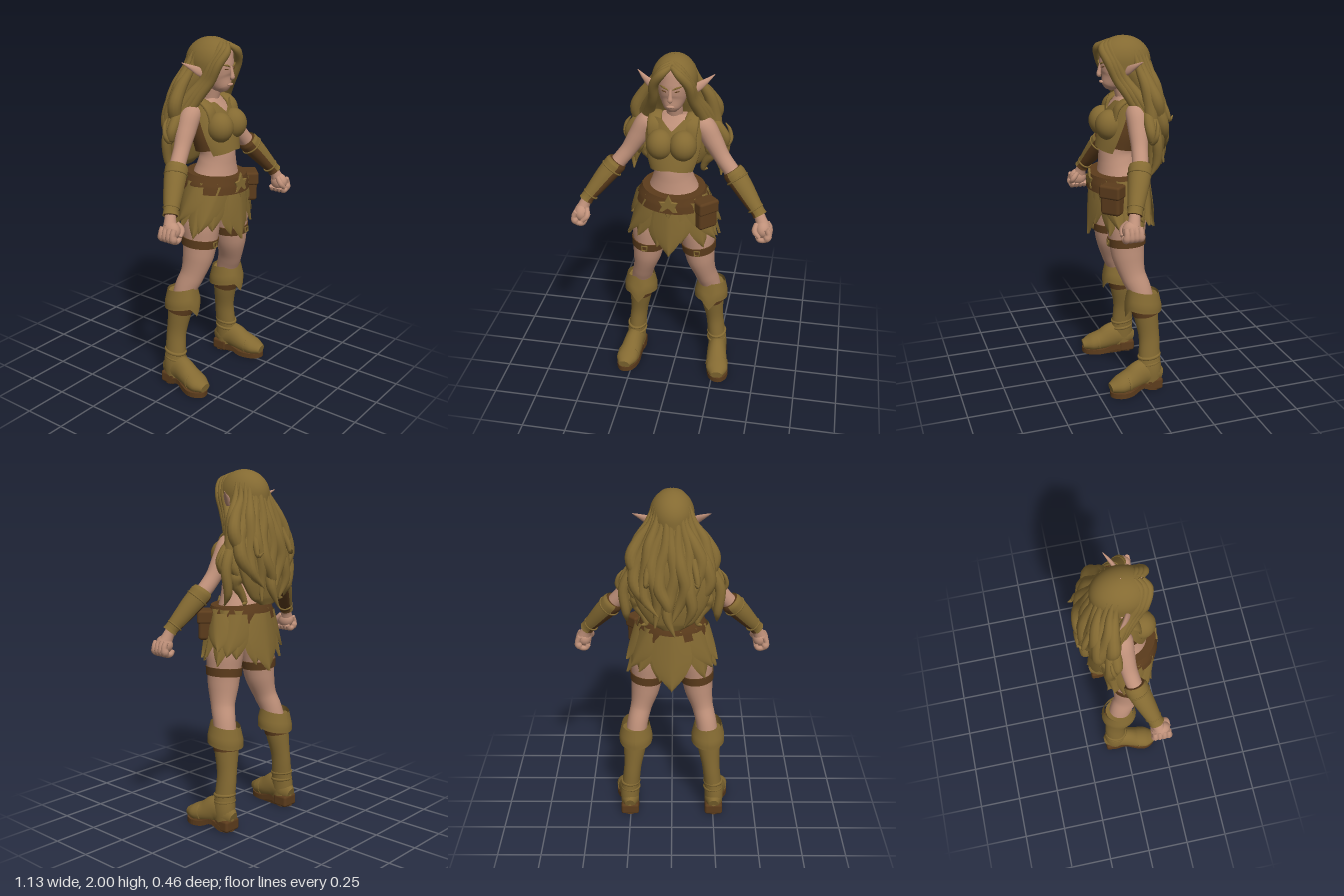
import * as THREE from 'three';
import { RoundedBoxGeometry } from 'three/addons/geometries/RoundedBoxGeometry.js';

const mat = (name, color, side = THREE.FrontSide) => {
  const m = new THREE.MeshStandardMaterial({ color, side });
  m.name = name;
  return m;
};

// Stitch rows of points into a smooth skin, optionally closed around and capped.
function skinRows(rows, closed, caps) {
  const n = rows[0].length, pos = [], idx = [];
  rows.forEach(r => r.forEach(p => pos.push(p.x, p.y, p.z)));
  const m = closed ? n : n - 1;
  for (let i = 0; i < rows.length - 1; i++) for (let j = 0; j < m; j++) {
    const a = i * n + j, b = i * n + (j + 1) % n, c = a + n, d = b + n;
    idx.push(a, c, b, b, c, d);
  }
  if (caps) caps.forEach((c, k) => {
    const ring = rows[k ? rows.length - 1 : 0], base = pos.length / 3;
    [...ring, c].forEach(p => pos.push(p.x, p.y, p.z));
    for (let j = 0; j < n; j++) {
      const a = base + j, b = base + (j + 1) % n;
      idx.push(base + n, k ? b : a, k ? a : b);
    }
  });
  const g = new THREE.BufferGeometry();
  g.setAttribute('position', new THREE.Float32BufferAttribute(pos, 3));
  g.setIndex(idx);
  g.computeVertexNormals();
  return g;
}

// Elliptical tube through [x, y, z, radiusAcross, radiusDeep] stations; arc = [middle, half width] leaves it open.
function loft(st, sides = 20, per = 5, ref = new THREE.Vector3(0, 0, 1), arc = null) {
  const path = new THREE.CatmullRomCurve3(st.map(p => new THREE.Vector3(p[0], p[1], p[2])));
  const radii = new THREE.CatmullRomCurve3(st.map(p => new THREE.Vector3(p[3], p[4] ?? p[3], 0)));
  const N = (st.length - 1) * per, rows = [];
  for (let i = 0; i <= N; i++) {
    const c = path.getPoint(i / N), r = radii.getPoint(i / N), t = path.getTangent(i / N);
    const side = t.clone().cross(ref).normalize(), deep = side.clone().cross(t);
    rows.push(Array.from({ length: sides }, (_, j) => {
      const a = arc ? arc[0] + arc[1] * (j / (sides - 1) * 2 - 1) : j / sides * Math.PI * 2;
      return c.clone().addScaledVector(side, Math.cos(a) * r.x).addScaledVector(deep, Math.sin(a) * r.y);
    }));
  }
  return arc ? skinRows(rows, false) : skinRows(rows, true, [path.getPoint(0), path.getPoint(1)]);
}

// Open sheet from a rule f(u, v) with v running downwards.
function sheet(f, nu, nv) {
  const rows = [];
  for (let i = 0; i <= nv; i++)
    rows.push(Array.from({ length: nu + 1 }, (_, j) => new THREE.Vector3(...f(j / nu, i / nv))));
  return skinRows(rows, false);
}

export function createModel() {
  const skin = mat('skin', 0xc0917a);
  const olive = mat('olive leather and hair', 0x846a32);
  const oliveSheet = mat('olive sheet', 0x846a32, THREE.DoubleSide);
  const brown = mat('brown leather', 0x5c3c1c);
  const root = new THREE.Group();
  root.name = 'elfRanger';
  const add = (name, geo, m, x = 0, y = 0, z = 0) => {
    const o = new THREE.Mesh(geo, m);
    o.name = name;
    o.position.set(x, y, z);
    root.add(o);
    return o;
  };
  const blob = (name, m, x, y, z, rx, ry, rz) => {
    const o = add(name, new THREE.SphereGeometry(1, 20, 14), m, x, y, z);
    o.scale.set(rx, ry, rz);
    return o;
  };

  // Body, neck and head
  add('torso', loft([[0, 1.05, .04, .17, .13], [0, 1.22, .045, .15, .125], [0, 1.31, .055, .115, .105],
    [0, 1.38, .06, .1, .095], [0, 1.5, .035, .122, .1], [0, 1.6, .015, .135, .08], [0, 1.67, .005, .07, .05]], 28), skin);
  add('neck', loft([[0, 1.6, 0, .055], [0, 1.67, .015, .043], [0, 1.78, .04, .045]]), skin);
  add('head', loft([[0, 1.713, .1, .018, .02], [0, 1.735, .092, .044, .05], [0, 1.785, .066, .07, .082],
    [0, 1.85, .05, .083, .1], [0, 1.92, .04, .083, .102], [0, 1.965, .03, .045, .06]], 28), skin);
  add('nose', loft([[0, 1.855, .143, .008], [0, 1.815, .152, .011], [0, 1.797, .154, .014, .013], [0, 1.785, .145, .006]], 12), skin);
  blob('lips', skin, 0, 1.757, .142, .022, .008, .009);

  // Chest wrap: brown sides under an olive front with an open collar
  add('bodice', loft([[0, 1.395, .045, .125, .105], [0, 1.48, .03, .142, .105], [0, 1.56, .012, .143, .09],
    [0, 1.6, 0, .13, .07]], 28), brown);
  add('bodiceFront', sheet((u, v) => {
    const c = u * 2 - 1, k = Math.min(1, Math.abs(c) / .32), top = 1.605 + .06 * k;
    const y = top + (1.4 - .02 * Math.abs(c) - top) * v, f = (y - 1.38) / .27, a = c * (1.05 + .3 * f);
    const r = .133 + .1 * f - .09 * f * f;
    return [Math.sin(a) * r, y, .055 - .05 * f + Math.cos(a) * (.122 - .028 * f * f)];
  }, 36, 14), oliveSheet);

  for (const s of [1, -1]) {
    const L = s > 0 ? 'left' : 'right';
    const M = st => st.map(([x, ...r]) => [x * s, ...r]);

    // Face details and pointed ear
    const eye = blob(L + 'Eye', brown, .034 * s, 1.842, .141, .014, .003, .004);
    eye.rotation.set(0, .35 * s, .2 * s);
    add(L + 'Eyebrow', loft(M([[.012, 1.853, .149, .003], [.035, 1.864, .144, .005], [.06, 1.866, .12, .002]]), 8), olive);
    add(L + 'Ear', loft(M([[.08, 1.8, .045, .018, .015], [.125, 1.832, .028, .023, .012],
      [.165, 1.858, .005, .014, .01], [.205, 1.885, -.025, .002]]), 14), skin);

    // Bust and shoulder strap
    blob(L + 'Bust', olive, .062 * s, 1.53, .117, .075, .084, .077);
    add(L + 'Strap', loft(M([[.085, 1.56, .1, .045, .014], [.098, 1.635, .078, .04, .014], [.1, 1.67, .01, .034, .012],
      [.1, 1.62, -.06, .03, .012]]), 12, 5, new THREE.Vector3(0, .6, 1).normalize()), olive);

    // Arm and bracer: olive outside, brown inside
    add(L + 'Arm', loft(M([[.1, 1.625, -.01, .035], [.155, 1.6, -.005, .058], [.205, 1.52, 0, .054], [.26, 1.43, .012, .044],
      [.32, 1.355, .03, .043], [.4, 1.26, .07, .044], [.485, 1.145, .117, .03], [.505, 1.1, .13, .036]])), skin);
    const bracer = grow => M([[.315, 1.365, .03, .05], [.33, 1.345, .035, .058], [.38, 1.285, .06, .053],
      [.435, 1.215, .09, .043], [.475, 1.165, .112, .035], [.485, 1.15, .118, .038]].map(p => [...p.slice(0, 3), p[3] + grow]));
    add(L + 'BracerInside', loft(bracer(0)), brown);
    add(L + 'BracerOutside', loft(bracer(.005), 20, 5, new THREE.Vector3(0, 0, 1), [s > 0 ? Math.PI : 0, 1.85]), oliveSheet);
    [[.35, 1.323, .045, .06], [.461, 1.182, .104, .041]].forEach(([x, y, z, r], i) => {
      const ring = add(L + 'BracerRim' + i, new THREE.TorusGeometry(r, .005, 8, 24), olive, x * s, y, z);
      ring.lookAt(ring.position.clone().add(new THREE.Vector3(.155 * s, -.2, .08)));
    });

    // Fist
    blob(L + 'Palm', skin, .507 * s, 1.08, .14, .042, .05, .052);
    for (let i = 0; i < 4; i++) {
      const z = .102 + i * .025;
      add(L + 'Finger' + i, loft(M([[.53, 1.1, z, .015], [.544, 1.066, z, .016], [.528, 1.033, z, .016],
        [.496, 1.03, z, .015], [.482, 1.05, z, .013]]), 10, 4), skin);
    }
    add(L + 'Thumb', loft(M([[.475, 1.115, .15, .014], [.468, 1.08, .178, .016], [.495, 1.05, .187, .012]]), 10), skin);

    // Leg and thigh strap
    add(L + 'Leg', loft(M([[.11, 1.12, .045, .09, .11], [.135, 1, .045, .1, .112], [.143, .9, .045, .092, .102],
      [.155, .8, .04, .082, .092], [.18, .69, .02, .062, .072], [.2, .61, -.01, .06, .067], [.213, .52, -.03, .06, .065]]), 24), skin);
    add(L + 'ThighStrap', loft(M([[.146, .863, .044, .096, .105], [.142, .91, .045, .1, .109]]), 28), brown);
    add(L + 'ThighBuckle', new THREE.TorusGeometry(.02, .005, 6, 4).rotateZ(Math.PI / 4), olive, .15 * s, .886, .156);

    // Tall boot with turned-down cuff
    add(L + 'BootShaft', loft(M([[.213, .57, -.028, .075, .082], [.22, .45, -.045, .066, .07], [.235, .31, -.06, .051, .06],
      [.247, .2, -.058, .052, .063], [.255, .12, -.058, .056, .068], [.255, .05, -.06, .052, .064]]), 24), olive);
    add(L + 'BootBand', loft(M([[.219, .455, -.043, .069, .074], [.214, .53, -.033, .077, .084]]), 24), brown);
    add(L + 'BootCuff', sheet((u, v) => {
      const a = (u - .5) * Math.PI * 2, w = Math.abs(a);
      const low = .5 - (w < .5 ? .06 * (1 - w / .5) : 0), y = .605 + .015 * Math.cos(a) + (low - .615) * v;
      const r = .08 + .017 * Math.min(1, v * 1.5);
      return [.213 * s + Math.sin(a) * r, y, -.03 + Math.cos(a) * (r + .008)];
    }, 40, 6), oliveSheet);
    [.165, .205].forEach((y, i) => {
      const fold = add(L + 'AnkleFold' + i, new THREE.TorusGeometry(.049, .01, 8, 24).rotateX(Math.PI / 2 + .15), olive, .249 * s, y, -.056);
      fold.scale.z = 1.18;
    });
    const up = new THREE.Vector3(0, 1, 0);
    add(L + 'Foot', loft(M([[.253, .075, -.125, .03, .04], [.254, .09, -.08, .053, .068], [.258, .105, -.01, .056, .08],
      [.268, .078, .065, .062, .064], [.279, .062, .13, .065, .05], [.284, .052, .188, .035, .026]]), 20, 5, up), olive);
    add(L + 'ToeSeam', loft(M([[.272, .07, .085, .067, .061], [.274, .069, .097, .068, .059]]), 20, 2, up), olive);

    // Arched sole and heel
    const outline = new THREE.Shape();
    outline.setFromPoints(new THREE.SplineCurve([[.202, -.09], [.253, -.125], [.303, -.09], [.31, 0], [.343, .11], [.323, .172],
      [.287, .19], [.24, .168], [.213, .1], [.208, 0], [.202, -.09]].map(p => new THREE.Vector2(p[0] * s, p[1]))).getPoints(48));
    const sole = new THREE.ExtrudeGeometry(outline, { depth: .03, bevelEnabled: false }).rotateX(Math.PI / 2).translate(0, .03, 0);
    const sp = sole.attributes.position;
    for (let i = 0; i < sp.count; i++) sp.setY(i, sp.getY(i) + .025 * Math.exp(-((sp.getZ(i) / .04) ** 2)));
    sole.computeVertexNormals();
    add(L + 'Sole', sole, brown);
    add(L + 'Heel', new RoundedBoxGeometry(.106, .07, .095, 3, .015), brown, .254 * s, .035, -.078);

    // Hair locks framing the face
    for (let i = 0; i < 3; i++) {
      const o = i * .022;
      add(L + 'FaceLock' + i, loft(M([[.004, 1.965 + o * .3, .125 - o, .012], [.045, 1.935 + o * .3, .15 - o, .022, .02],
        [.09, 1.87, .128 - o, .025, .022], [.103 + o * .2, 1.78, .085 - o, .025], [.13 + o * .5, 1.7, .03 - o, .029],
        [.165 + o * .7, 1.61, -.02 - o, .032], [.215 + o, 1.53 - o, -.04 - o, .03], [.205 + o, 1.44 - o * 2, -.045 - o, .024],
        [.225 + o * .5, 1.37 - o * 2, -.06, .004]]), 12), olive);
    }
    // Side curls and flicked tips
    add(L + 'SideCurl', loft(M([[.18, 1.63, -.06, .02], [.225, 1.58, -.05, .03], [.265, 1.52, -.05, .028], [.265, 1.47, -.06, .02],
      [.293, 1.5, -.07, .013], [.285, 1.555, -.08, .01], [.262, 1.59, -.08, .003]]), 12), olive);
    add(L + 'LowCurl', loft(M([[.17, 1.48, -.1, .03], [.19, 1.4, -.09, .03], [.155, 1.34, -.1, .022], [.14, 1.29, -.11, .015],
      [.165, 1.285, -.12, .004]]), 12), olive);
    add(L + 'BackFlick', loft(M([[.11, 1.68, -.15, .02], [.13, 1.6, -.185, .018], [.135, 1.55, -.205, .012], [.12, 1.57, -.228, .003]]), 10), olive);
  }

  // Hair: crown with a face opening, back mass and wavy locks
  add('hairCrown', sheet((u, v) => {
    const p = .02 + 1.9 * v, q = Math.min(1, Math.max(0, (p - .75) / .6)), g = .85 * Math.sqrt(q);
    const a = g + u * (Math.PI * 2 - 2 * g), r = p < 1.57 ? Math.sin(p) : 1;
    return [Math.sin(a) * .12 * r, 1.865 + .135 * Math.cos(p), .02 + Math.cos(a) * .155 * r];
  }, 48, 18), oliveSheet);
  add('hairMass', loft([[0, 1.93, -.03, .09, .07], [0, 1.82, -.045, .125, .09], [0, 1.7, -.09, .16, .08], [0, 1.6, -.12, .2, .07],
    [0, 1.5, -.135, .21, .055], [0, 1.4, -.14, .18, .05], [0, 1.31, -.145, .12, .035], [0, 1.27, -.15, .05, .015]], 28), olive);
  const lockRadius = [.008, .02, .033, .038, .037, .028, .004];
  for (let i = -6; i <= 6; i++) {
    const a = i / 6 * 1.45, len = .67 - .12 * Math.abs(i / 6) - (i & 1 ? .05 : 0);
    add('backLock' + (i + 6), loft(lockRadius.map((r, j) => {
      const t = j / 6, w = t * 10 + i * 2, R = .095 + .125 * Math.sin(.85 * Math.PI * t) ** 1.8;
      return [Math.sin(a) * R + .032 * t * Math.sin(w), 1.93 - len * t,
        -.105 * t - Math.cos(a) * (.1 + .015 * Math.sin(Math.PI * t)) + .016 * t * Math.cos(w), r];
    }), 12), olive);
  }

  // Leaf skirt: pointed panels laid on a flared elliptical cone
  const leaf = (name, angle, half, top, bottom, off, skew = 0, taper = 2.5) => add(name, sheet((u, v) => {
    const k = u * 2 - 1, a = angle + skew * v + k * half * (1 - v ** taper * .96) * (.75 + .25 * Math.sin(Math.PI * v));
    const y = top + (bottom - top) * v, f = 1.26 - y, o = off * (.5 + v * .5) + .014 * (1 - Math.abs(k));
    return [Math.sin(a) * (.172 + .26 * f + o), y, .045 - .03 * f + Math.cos(a) * (.148 + .05 * f + o)];
  }, 12, 14), oliveSheet);
  for (let i = 0; i < 12; i++)
    leaf('underLeaf' + i, (i + .5) * Math.PI / 6, .38, 1.24, i % 2 ? .935 : .975, i % 2 ? 0 : .005, 0, 4);
  for (const s of [1, -1]) {
    leaf('hipLeafFront', s * .7, .42, 1.22, .97, .018, s * .45);
    leaf('hipLeafSide', s * 1.5, .55, 1.22, 1.02, .024, s * .35);
    leaf('hipLeafBack', s * 2.4, .5, 1.22, .99, .018, -s * .3);
  }
  leaf('frontLeaf', 0, .44, 1.2, .895, .02);
  leaf('backLeaf', Math.PI, .55, 1.22, .895, .03);

  // Tilted belt, leaf buckle and pouch
  add('belt', loft([[0, -.045, .047, .205, .178], [0, 0, .048, .195, .173], [0, .045, .05, .174, .162]], 36), brown, 0, 1.216).rotation.z = -.05;
  const star = new THREE.Shape();
  star.setFromPoints(Array.from({ length: 12 }, (_, i) => {
    const a = i * Math.PI / 6, r = i % 2 ? .034 : (i % 6 ? .054 : .07);
    return new THREE.Vector2(Math.sin(a) * r, Math.cos(a) * r);
  }));
  add('beltBuckle', new THREE.ExtrudeGeometry(star, { depth: .006, bevelSize: .004, bevelThickness: .004, bevelSegments: 1 }), olive, 0, 1.205, .212);
  const pouch = add('pouch', new RoundedBoxGeometry(.115, .16, .08, 3, .018), brown, .19, 1.145, .14);
  const flap = add('pouchFlap', new RoundedBoxGeometry(.125, .075, .09, 3, .014), brown, .192, 1.195, .142);
  pouch.rotation.y = flap.rotation.y = .75;
  return root;
}
